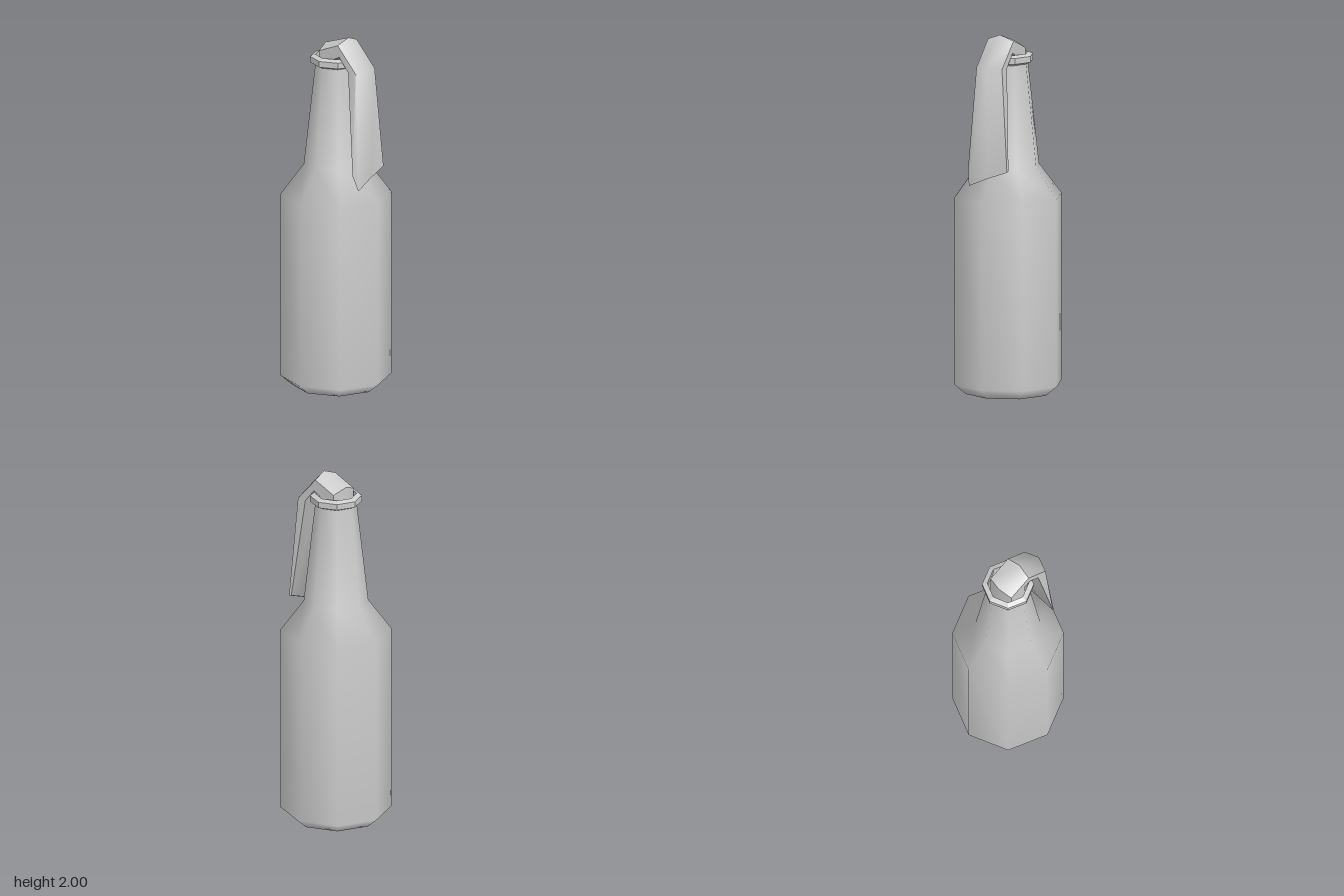
import * as THREE from 'three';
import { toCreasedNormals } from 'three/addons/utils/BufferGeometryUtils.js';

const SIDES = 8;

function lathe(points, material, name) {
  const profile = points.map(([r, y]) => new THREE.Vector2(r, y));
  const mesh = new THREE.Mesh(new THREE.LatheGeometry(profile, SIDES), material);
  mesh.name = name;
  return mesh;
}

// Skins a list of equal-sized cross-sections and closes the last one.
function loft(sections) {
  const n = sections[0].length;
  const index = [];
  for (let i = 0; i < sections.length - 1; i++) {
    for (let j = 0; j < n; j++) {
      const a = i * n + j, b = i * n + (j + 1) % n;
      index.push(a, a + n, b, b, a + n, b + n);
    }
  }
  const last = (sections.length - 1) * n;
  for (let k = 1; k < n - 1; k++) index.push(last, last + k + 1, last + k);
  const geometry = new THREE.BufferGeometry();
  geometry.setAttribute('position', new THREE.Float32BufferAttribute(sections.flat(2), 3));
  geometry.setIndex(index);
  return toCreasedNormals(geometry, 1.05);
}

// Six-sided cloth section: outer ridge, outer edges, inner edges, inner ridge, each as [y, z].
function clothSection(w, [oy, oz], [sy, sz], [ty, tz], [iy, iz]) {
  return [[0, oy, oz], [w, sy, sz], [w, ty, tz], [0, iy, iz], [-w, ty, tz], [-w, sy, sz]];
}

export function createModel() {
  const model = new THREE.Group();
  model.name = 'bottleWithCloth';
  const glass = new THREE.MeshStandardMaterial({ color: 0xcccccc, side: THREE.DoubleSide });
  const faceted = new THREE.MeshStandardMaterial({ color: 0xcccccc, side: THREE.DoubleSide, flatShading: true });

  // Body, shoulder and open neck
  model.add(lathe([
    [0, 0], [0.24, 0], [0.305, 0.055], [0.305, 1.095], [0.177, 1.265], [0.113, 1.84],
  ], glass, 'bottle'));

  // Lip around the mouth
  model.add(lathe([
    [0.113, 1.832], [0.142, 1.845], [0.142, 1.878], [0.113, 1.89], [0.113, 1.832],
  ], faceted, 'lip'));

  // Cloth rising out of the neck, folding over the lip and hanging in front
  const cloth = new THREE.Mesh(loft([
    clothSection(0.08, [1.7, -0.074], [1.7, -0.055], [1.7, 0.05], [1.7, 0.07]),
    clothSection(0.08, [1.943, -0.074], [1.915, -0.055], [1.885, 0.05], [1.875, 0.07]),
    clothSection(0.08, [2.0, 0.09], [1.97, 0.08], [1.905, 0.09], [1.89, 0.1]),
    clothSection(0.08, [1.84, 0.24], [1.83, 0.21], [1.83, 0.155], [1.838, 0.122]),
    // Slanted, flattened hem
    [[0, 1.22, 0.243], [0.125, 1.265, 0.235], [0.125, 1.27, 0.218],
      [0, 1.225, 0.232], [-0.125, 1.26, 0.225], [-0.105, 1.175, 0.25]],
  ]), glass);
  cloth.name = 'cloth';
  model.add(cloth);

  return model;
}
